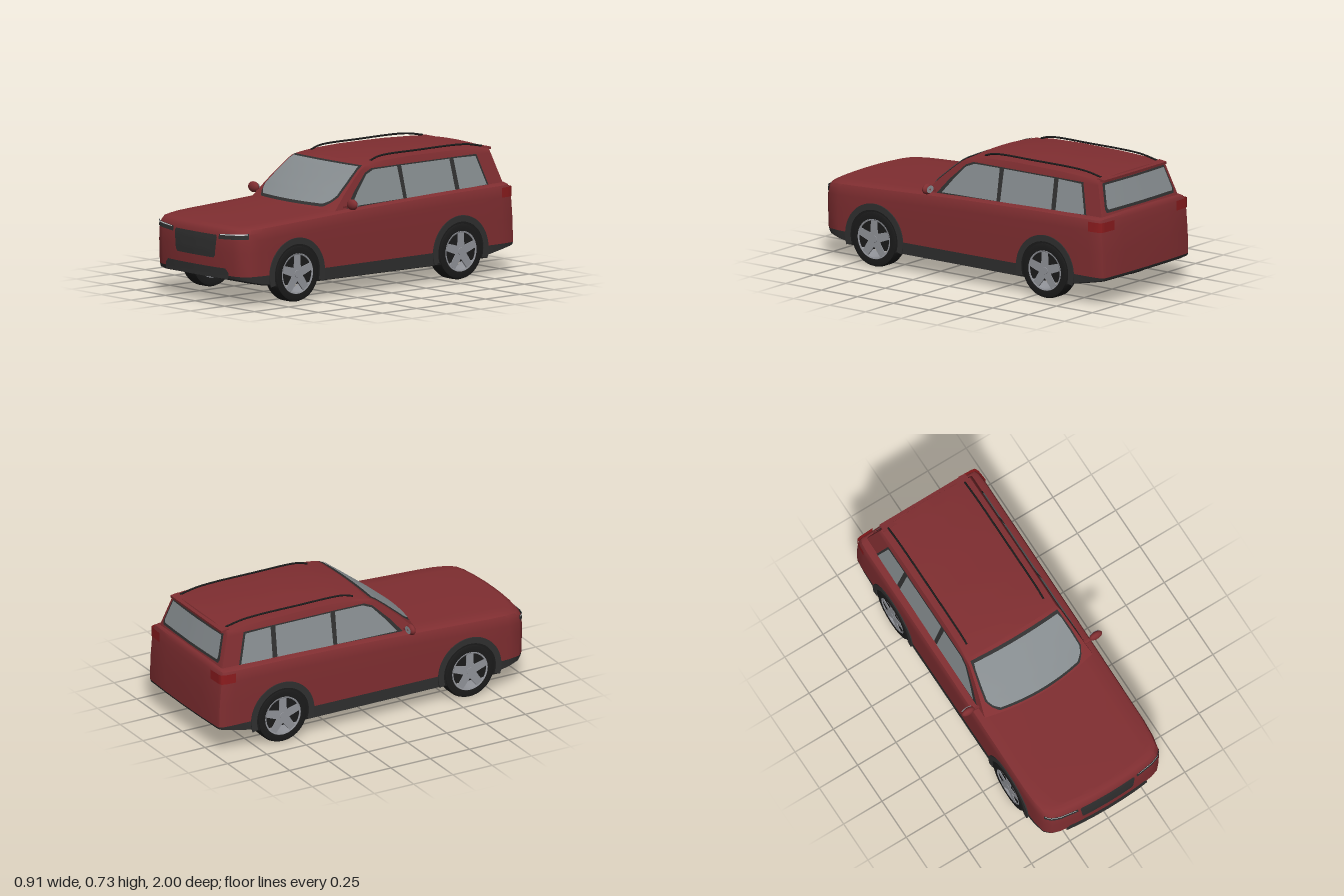
import * as THREE from 'three';
import { toCreasedNormals } from 'three/addons/utils/BufferGeometryUtils.js';

const paint = (name, color) => {
  const m = new THREE.MeshStandardMaterial({ color, side: THREE.DoubleSide });
  m.name = name;
  return m;
};

// Linear lookup in a table of [key, value] pairs with rising keys
function look(table, k) {
  if (k <= table[0][0]) return table[0][1];
  for (let i = 1; i < table.length; i++) {
    const [k0, v0] = table[i - 1], [k1, v1] = table[i];
    if (k <= k1) return v0 + (v1 - v0) * (k - k0) / (k1 - k0);
  }
  return table[table.length - 1][1];
}

// Skin over rows of [x, y, z] points
function skin(rows, closed = false, crease = 0.6) {
  const n = rows[0].length, index = [];
  for (let i = 0; i < rows.length - 1; i++)
    for (let j = 0; j < (closed ? n : n - 1); j++) {
      const a = i * n + j, b = i * n + (j + 1) % n;
      index.push(a, b, a + n, b, b + n, a + n);
    }
  const g = new THREE.BufferGeometry();
  g.setAttribute('position', new THREE.Float32BufferAttribute(rows.flat(2), 3));
  g.setIndex(index);
  return toCreasedNormals(g, crease);
}

// Grid patch from a rule f(u, v) with u, v in 0..1
function patch(f, nu = 12, nv = 1) {
  const rows = [];
  for (let i = 0; i <= nv; i++) {
    rows.push([]);
    for (let j = 0; j <= nu; j++) rows[i].push(f(j / nu, i / nv));
  }
  return skin(rows);
}

// Plan outlines: [fraction of half width, distance back from the end]
const bodyFront = [[0, 0], [.25, .002], [.5, .008], [.75, .02], [.87, .036], [.95, .07], [.985, .14], [1, .24]];
const bodyRear = [[0, 0], [.5, .003], [.92, .01], [.965, .015], [.99, .04], [1, .1]];
const cabinFront = [[0, 0], [.2, .04], [.4, .16], [.6, .36], [.8, .64], [.95, .9], [1, 1]];
const cabinRear = [[0, 0], [.5, .003], [.95, .008], [1, .012]];

// Closed plan loop; height y(z, fraction) lets each layer follow the profile
function ring({ y, hw, zf, zr, bow = 1 }, front, rear, s = 1) {
  const half = front.map(([f, d]) => [f, zf - d * bow]);
  const z0 = half[half.length - 1][1], z1 = zr + rear[rear.length - 1][1];
  for (let i = 1; i < 14; i++) half.push([1, z0 + (z1 - z0) * i / 14]);
  [...rear].reverse().forEach(([f, d]) => half.push([f, zr + d]));
  const loop = [...half, ...half.slice(1, -1).reverse().map(([f, z]) => [-f, z])];
  return loop.map(([f, z]) => [f * s * hw, y(z, f * s), z]);
}

// Side heights of the lower body and roof along z
const sill = z => look([[-1, .15], [-.75, .1], [-.5, .09], [.7, .095], [.85, .115], [1, .15]], z);
const belt = (z, f) => look([[-1, .5], [-.5, .492], [0, .478], [.3, .465], [.5, .455], [.8, .442], [1, .428]], z) + .008 * (1 - f * f);
const roofY = (z, f) => look([[-.92, .688], [-.85, .694], [-.6, .705], [-.3, .708], [-.1, .701], [-.03, .694], [.03, .686]], z) + .014 * (1 - f * f);
// Cabin ends and sides by height
const screenZ = y => look([[.46, .345], [.55, .235], [.62, .14], [.665, .075], [.686, .035]], y);
const screenBow = y => look([[.46, .055], [.686, .012]], y);
const hatchZ = y => look([[.46, -.967], [.686, -.895]], y);
const cabinX = y => .352 - (y - .46) * .24;

export function createModel() {
  const red = paint('body red', 0x802e31), dark = paint('dark trim', 0x303030), black = paint('black rubber', 0x1b1b1b);
  const glass = paint('window glass', 0x868c8f), silver = paint('wheel silver', 0x92949a);
  const tail = paint('tail lamp red', 0x8c1c1e), white = paint('lamp white', 0xd8dcde);
  const car = new THREE.Group();
  car.name = 'car';
  const add = (name, geo, mat, parent = car) => {
    const m = new THREE.Mesh(geo, mat);
    m.name = name;
    parent.add(m);
    return m;
  };

  // Lower body: underside, cladding and painted shell
  const low = { y: sill, hw: .365, zf: .975, zr: -.98 };
  add('underside', skin([0, .5, 1].map(s => ring(low, bodyFront, bodyRear, s)), true), black);
  const skirt = { y: () => .168, hw: .395, zf: .995, zr: -1 };
  add('cladding', skin([low, { y: z => sill(z) + .008, hw: .392, zf: .99, zr: -.996 }, skirt]
    .map(l => ring(l, bodyFront, bodyRear)), true), dark);
  const drop = d => (z, f) => belt(z, f) - d;
  const hood = { y: belt, hw: .368, zf: .95, zr: -.962 };
  const shell = [skirt, { y: () => .3, hw: .395, zf: 1, zr: -.996 },
    { y: drop(.07), hw: .395, zf: .998, zr: -.985 }, { y: drop(.03), hw: .392, zf: .992, zr: -.978 },
    { y: drop(.009), hw: .384, zf: .976, zr: -.972 }].map(l => ring(l, bodyFront, bodyRear));
  [1, .8, .5, .25, 0].forEach(s => shell.push(ring(hood, bodyFront, bodyRear, s)));
  add('body', skin(shell, true), red);

  // Cabin and roof
  const cabin = [.46, .55, .62, .665, .68].map(y => ring(
    { y: () => y, hw: cabinX(y), zf: screenZ(y), zr: hatchZ(y), bow: screenBow(y) }, cabinFront, cabinRear));
  const roof = { y: roofY, hw: .29, zf: .02, zr: -.893, bow: .012 };
  [1, .85, .6, .3, 0].forEach(s => cabin.push(ring(roof, cabinFront, cabinRear, s)));
  add('cabin', skin(cabin, true), red);
  const spoiler = add('spoiler', new THREE.BoxGeometry(.56, .014, .05), red);
  spoiler.position.set(0, .69, -.888);
  spoiler.rotation.x = -.12;

  // Windscreen and rear window, each a glass over a dark surround
  const endPane = (name, mat, widths, endZ, lift) => {
    const y0 = widths[0][0], y1 = widths[widths.length - 1][0];
    add(name, patch((u, v) => {
      const y = y0 + (y1 - y0) * v, f = (u * 2 - 1) * look(widths, y) / cabinX(y);
      return [f * cabinX(y), y + Math.abs(lift) * .6, endZ(y, f) + lift];
    }, 16, 20), mat);
  };
  const frontAt = (y, f) => screenZ(y) - screenBow(y) * f * f;
  const rearAt = (y, f) => hatchZ(y) + look(cabinRear, Math.abs(f));
  endPane('windscreenFrame', dark, [[.48, .26], [.5, .29], [.53, .312], [.6, .303], [.66, .29], [.686, .283]], frontAt, .004);
  endPane('windscreen', glass, [[.492, .25], [.508, .283], [.535, .302], [.6, .293], [.66, .281], [.678, .272]], frontAt, .009);
  endPane('rearWindowFrame', dark, [[.515, .3], [.535, .308], [.672, .275]], rearAt, -.004);
  endPane('rearWindow', glass, [[.53, .285], [.545, .292], [.66, .265]], rearAt, -.008);

  // Flat outline of [z, y] points laid on the cabin side
  const sidePane = (pts, side, lift) => {
    const g = new THREE.ShapeGeometry(new THREE.Shape(pts.map(p => new THREE.Vector2(...p))));
    const p = g.attributes.position;
    for (let i = 0; i < p.count; i++) {
      const z = p.getX(i), y = p.getY(i);
      p.setXYZ(i, side * (cabinX(y) + lift), y, z);
    }
    g.computeVertexNormals();
    return g;
  };
  const frame = [[.2, .472], [.13, .555], [.03, .65], [-.02, .67], [-.785, .67], [-.84, .49]];
  const panes = [
    [[.165, .48], [.1, .56], [.025, .64], [-.03, .662], [-.205, .664], [-.215, .486]],
    [[-.24, .486], [-.235, .664], [-.585, .664], [-.595, .492]],
    [[-.625, .493], [-.615, .664], [-.775, .66], [-.825, .5]]];

  // Front details, wrapped on the nose
  const nose = (x, y, lift) => [x * 1.005, y,
    look([[.168, .995], [.3, 1], [.36, .998], [.405, .992]], y) - look(bodyFront, Math.abs(x) / .395) + lift];
  const nosePlate = (name, mat, widths, lift = .004) => {
    const y0 = widths[0][0], y1 = widths[widths.length - 1][0];
    add(name, patch((u, v) => {
      const y = y0 + (y1 - y0) * v;
      return nose((u * 2 - 1) * look(widths, y), y, lift);
    }, 16, 10), mat);
  };
  nosePlate('grille', dark, [[.26, .15], [.272, .163], [.375, .175], [.388, .168]]);
  nosePlate('lowerIntake', dark, [[.15, .26], [.185, .262], [.208, .24]], .005);

  for (const side of [1, -1]) {
    add('sideWindowFrame', sidePane(frame, side, .002), dark);
    panes.forEach(p => add('sideWindow', sidePane(p, side, .004), glass));
    const lamp = (name, mat, x0, x1, lo, hi, lift) => add(name, patch((u, v) => {
      const y = lo(u) + (hi(u) - lo(u)) * v;
      return nose(side * (x0 + (x1 - x0) * u), y, lift);
    }, 14, 2), mat);
    lamp('headlight', dark, .19, .373, u => .368 + .01 * u, u => .396 + .014 * u, .005);
    lamp('headlightStrip', white, .2, .37, u => .391 + .011 * u, u => .396 + .013 * u, .008);
    add('tailLamp', patch((u, v) => {
      const f = .7 + .3 * Math.sqrt(u), y = .425 + .055 * v;
      return [side * (f * .395 + .003), y, -.989 + look(bodyRear, f)];
    }, 20), tail);

    // Door mirror with stalk and rear-facing glass
    const mirror = new THREE.Group();
    mirror.name = 'mirror';
    mirror.position.set(side * .416, .504, .215);
    car.add(mirror);
    add('mirrorShell', new THREE.SphereGeometry(1, 20, 14), red, mirror).scale.set(.04, .03, .02);
    const pane = add('mirrorGlass', new THREE.CircleGeometry(1, 20), silver, mirror);
    pane.scale.set(.031, .021, 1);
    pane.position.z = -.0195;
    pane.rotation.y = Math.PI;
    const stalk = add('mirrorStalk', new THREE.BoxGeometry(.06, .01, .014), red, mirror);
    stalk.position.set(-side * .048, -.018, 0);
    stalk.rotation.z = side * .2;

    // Roof rail
    const path = new THREE.CatmullRomCurve3([[.703, -.06], [.721, -.12], [.726, -.4], [.721, -.75], [.7, -.87]]
      .map(([y, z]) => new THREE.Vector3(side * .25, y, z)));
    add('roofRail', new THREE.TubeGeometry(path, 32, .0055, 8), black);

    for (const z of [.6, -.59]) wheel(side, z);
  }

  // Wheel arch and wheel with five spokes; built facing +z, then turned outward
  function wheel(side, z) {
    const g = new THREE.Group();
    g.name = 'wheel';
    g.position.set(side * .353, .158, z);
    g.rotation.y = side * Math.PI / 2;
    car.add(g);
    const a = Math.asin(.058 / .2);
    const well = new THREE.Shape().absarc(0, 0, .195, -a, Math.PI + a, false);
    add('wheelWell', new THREE.ShapeGeometry(well, 40), black, g).position.z = .0432;
    const arch = new THREE.Shape().absarc(0, 0, .2, -a, Math.PI + a, false);
    arch.absarc(0, 0, .165, Math.PI + a, -a, true);
    add('wheelArch', new THREE.ExtrudeGeometry(arch, { depth: .007, bevelEnabled: false, curveSegments: 40 }), dark, g).position.z = .041;
    const lathe = pts => toCreasedNormals(new THREE.LatheGeometry(pts.map(p => new THREE.Vector2(...p)), 48).rotateX(Math.PI / 2), .5);
    add('tyre', lathe([[.11, -.045], [.14, -.05], [.152, -.046], [.158, -.03], [.158, .03], [.152, .046], [.14, .05], [.11, .047]]), black, g);
    add('rim', lathe([[.108, -.045], [.104, 0], [.104, .046], [.112, .0485], [.115, .046]]), silver, g);
    const star = [];
    for (let i = 0; i < 5; i++) {
      const t = Math.PI / 2 + i * Math.PI * 2 / 5;
      for (const [r, d] of [[.106, -.2], [.106, .2], [.042, Math.PI / 5]])
        star.push(new THREE.Vector2(r * Math.cos(t + d), r * Math.sin(t + d)));
    }
    add('spokes', new THREE.ExtrudeGeometry(new THREE.Shape(star), { depth: .01, bevelEnabled: false }), silver, g).position.z = .037;
    add('hub', new THREE.CylinderGeometry(.02, .024, .012, 20).rotateX(Math.PI / 2), silver, g).position.z = .043;
  }
  return car;
}
